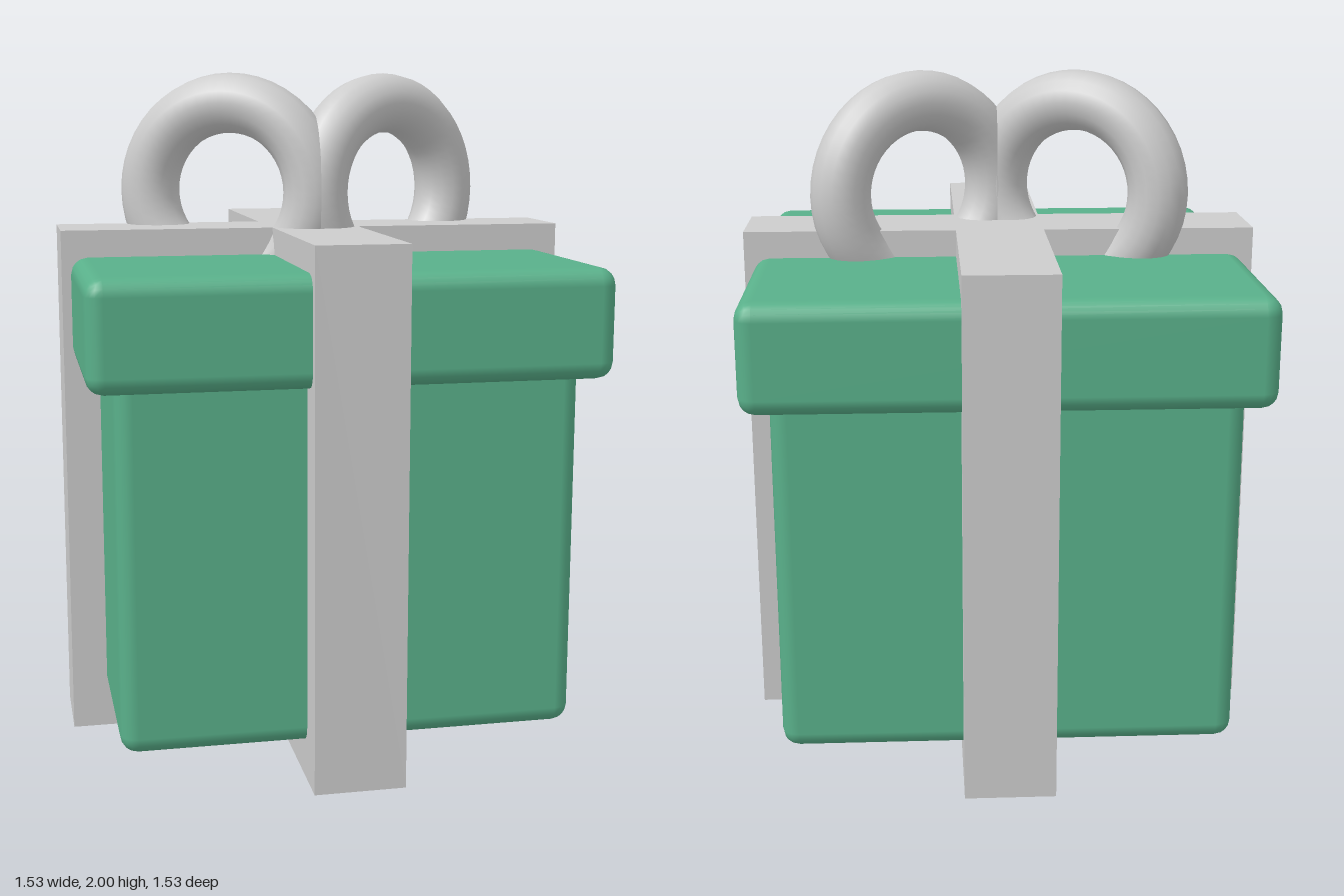
import * as THREE from 'three';
import { RoundedBoxGeometry } from 'three/addons/geometries/RoundedBoxGeometry.js';

export function createModel() {
  const group = new THREE.Group();
  const green = new THREE.MeshStandardMaterial({ name: 'green wrapping', color: 0x59b08a });
  const grey = new THREE.MeshStandardMaterial({ name: 'pale grey ribbon', color: 0xcccccc });

  const add = (name, geometry, material, x = 0, y = 0, z = 0) => {
    const mesh = new THREE.Mesh(geometry, material);
    mesh.name = name;
    mesh.position.set(x, y, z);
    group.add(mesh);
    return mesh;
  };

  // Box and overhanging lid, both with softened edges
  const roundedBlock = (name, width, bottom, top) =>
    add(name, new RoundedBoxGeometry(width, top - bottom, width, 2, 0.05), green, 0, (bottom + top) / 2, 0);
  roundedBlock('box', 1.32, 0.11, 1.3);
  roundedBlock('lid', 1.475, 1.145, 1.46);

  // Crossed ribbon bands: one plus-shaped outline raised to full height
  const a = 0.132, b = 0.765;
  const plus = new THREE.Shape([
    [a, a], [a, b], [-a, b], [-a, a], [-b, a], [-b, -a],
    [-a, -a], [-a, -b], [a, -b], [a, -a], [b, -a], [b, a],
  ].map(([x, y]) => new THREE.Vector2(x, y)));
  const bands = new THREE.ExtrudeGeometry(plus, { depth: 1.54, bevelEnabled: false });
  bands.rotateX(-Math.PI / 2);
  add('ribbonBands', bands, grey);

  // Bow: two upright rings swept back from where they meet at the front
  const ring = new THREE.TorusGeometry(0.266, 0.09, 16, 48);
  for (const side of [1, -1]) {
    const loop = add(side > 0 ? 'bowLoopLeft' : 'bowLoopRight', ring, grey, side * 0.24, 1.644, 0);
    loop.rotation.y = side * THREE.MathUtils.degToRad(29);
  }

  return group;
}
